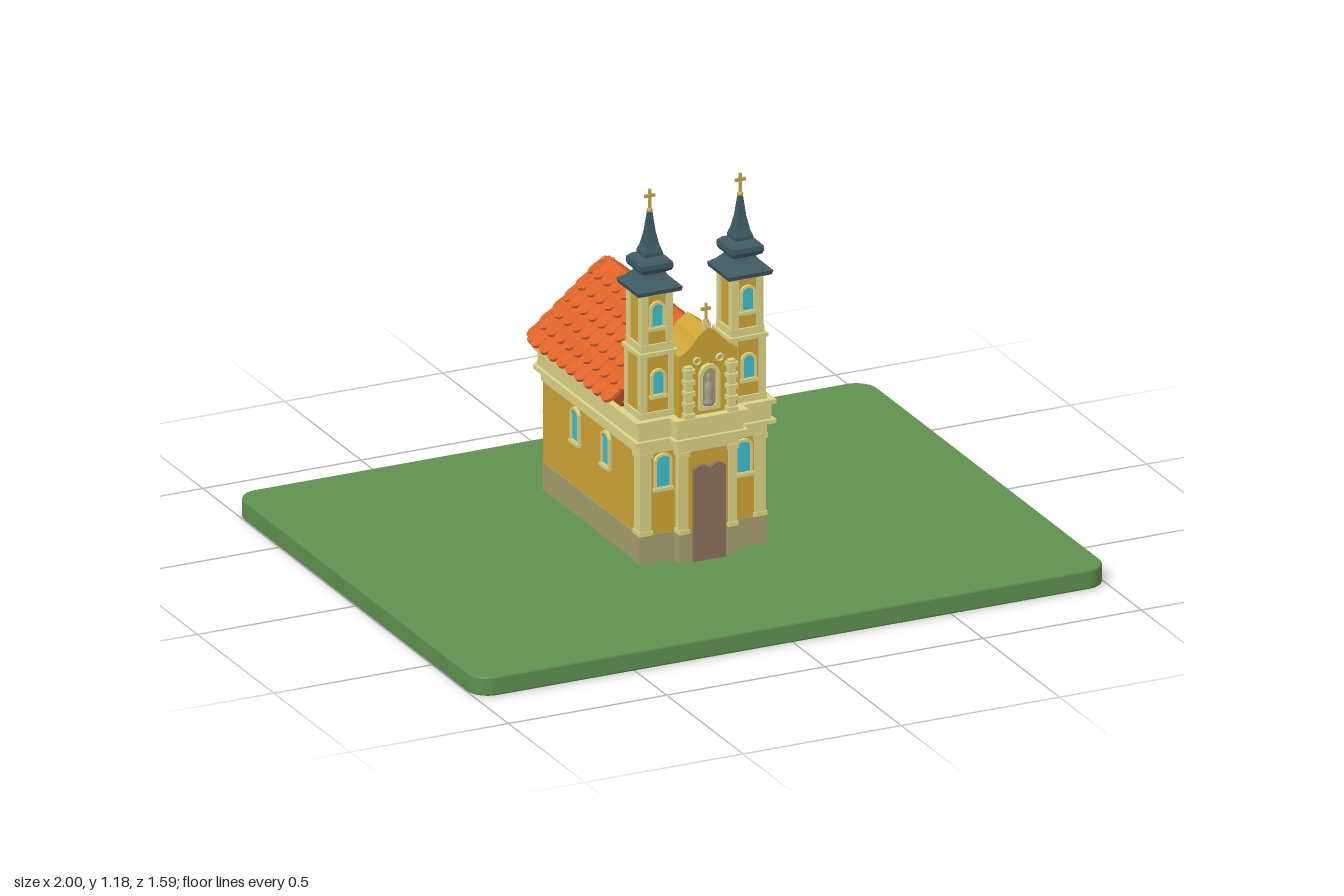
import * as THREE from 'three';
import { mergeGeometries } from 'three/addons/utils/BufferGeometryUtils.js';

const mat = (color, flatShading = false) => new THREE.MeshStandardMaterial({ color, flatShading });
const M = {
  grass: mat(0x5f9150), stone: mat(0xa59e6e), wall: mat(0xd0a535), trim: mat(0xdcd588),
  tile: mat(0xe0642a), slate: mat(0x3d5a62, true), glass: mat(0x3fbfcc), wood: mat(0x8c705c),
  gold: mat(0xc9a94e), statue: mat(0xa8a294), under: mat(0x8a3c18)
};

function add(parent, name, geometry, material, x = 0, y = 0, z = 0) {
  const mesh = new THREE.Mesh(geometry, material);
  mesh.name = name;
  mesh.position.set(x, y, z);
  parent.add(mesh);
  return mesh;
}
// Box given by its centre in x and z and its bottom and top
const box = (parent, name, material, w, d, y0, y1, x, z) =>
  add(parent, name, new THREE.BoxGeometry(w, y1 - y0, d), material, x, (y0 + y1) / 2, z);

const extrude = (shape, depth, options = {}) =>
  new THREE.ExtrudeGeometry(shape, { depth, bevelEnabled: false, curveSegments: 6, ...options });

// Upright shape with a shallow arched top, standing on y = 0
function arch(w, h, rise, Type = THREE.Shape, y0 = 0) {
  const s = new Type();
  s.moveTo(-w / 2, y0);
  s.lineTo(w / 2, y0);
  s.lineTo(w / 2, h - rise);
  s.bezierCurveTo(w * 0.4, h + rise * 0.3, -w * 0.4, h + rise * 0.3, -w / 2, h - rise);
  s.closePath();
  return s;
}

function addWindow(parent, w, h, x, y, z, turn = 0) {
  const g = new THREE.Group();
  g.name = 'window';
  const frame = arch(w + 0.014, h + 0.008, 0.018);
  frame.holes.push(arch(w, h, 0.015, THREE.Path, 0.006));
  add(g, 'windowFrame', extrude(frame, 0.012), M.trim, 0, 0, -0.004);
  add(g, 'windowPane', extrude(arch(w, h, 0.015), 0.006), M.glass, 0, 0, -0.003);
  box(g, 'windowSill', M.trim, w + 0.02, 0.02, -0.006, 0.004, 0, 0.002);
  g.position.set(x, y, z);
  g.rotation.y = turn;
  parent.add(g);
}

// Footprint of the church grown by o, with front bay and three-sided apse
function footprint(o, y0, y1) {
  const half = [[0.09 + o, 0.235 + o], [0.09 + o, 0.2 + o], [0.195 + o, 0.2 + o],
    [0.195 + o, -0.44 - 0.4 * o], [0.1 + 0.45 * o, -0.54 - o]];
  const all = [...half, ...half.map(([x, z]) => [-x, z]).reverse()];
  const shape = new THREE.Shape(all.map(([x, z]) => new THREE.Vector2(x, -z)));
  return extrude(shape, y1 - y0).rotateX(-Math.PI / 2).translate(0, y0, 0);
}

function addCross(parent, x, y, z, h) {
  const g = new THREE.Group();
  g.name = 'cross';
  add(g, 'crossBall', new THREE.SphereGeometry(0.009, 12, 8), M.gold, 0, 0.004, 0);
  box(g, 'crossPost', M.gold, 0.007, 0.007, 0, h, 0, 0);
  box(g, 'crossArm', M.gold, h * 0.5, 0.007, h * 0.64, h * 0.64 + 0.009, 0, 0);
  g.position.set(x, y, z);
  parent.add(g);
}

function addRoof(parent) {
  const top = 0.735, drop = 0.225, rx = 0.22, rz = 0.16, front = 0.1, back = -0.42, rows = 6;
  const shape = arch(0.09, 0, 0);
  shape.curves = [];
  shape.setFromPoints([[-0.21, 0], [0.21, 0], [0, drop - 0.008]].map(p => new THREE.Vector2(...p)));
  add(parent, 'roofCore', extrude(shape, front - back), M.under, 0, top - drop, back);
  const cone = new THREE.ConeGeometry(1, drop - 0.008, 24, 1, false, Math.PI / 2, Math.PI);
  add(parent, 'apseRoofCore', cone.scale(0.21, 1, 0.15), M.under, 0, top - drop / 2 - 0.004, back);

  // One tile with a rounded lower end, lifted a little along the slope
  const L = 0.066, W = 0.056, s = new THREE.Shape();
  s.moveTo(-W / 2, 0);
  s.lineTo(W / 2, 0);
  s.lineTo(W / 2, L * 0.68);
  s.bezierCurveTo(W * 0.42, L * 1.1, -W * 0.42, L * 1.1, -W / 2, L * 0.68);
  const tile = extrude(s, 0.01, { curveSegments: 8 }).rotateX(0.16);
  const tiles = [];
  const lay = (pos, down, widen) => {
    down.normalize();
    const out = new THREE.Vector3(down.x, 0, down.z).normalize();
    const across = new THREE.Vector3().crossVectors(down, new THREE.Vector3().crossVectors(
      new THREE.Vector3(0, 1, 0).cross(out), down).negate()).normalize();
    const normal = new THREE.Vector3().crossVectors(across, down);
    if (normal.y < 0) { normal.negate(); across.negate(); }
    const m = new THREE.Matrix4().makeBasis(across, down, normal).setPosition(pos);
    tiles.push(tile.clone().scale(widen, 1, 1).applyMatrix4(m));
  };
  const count = 9, step = (front - back) / count;
  for (let r = 0; r < rows; r++) {
    const t = r / rows, shift = r % 2 ? 1 : 0.5;
    for (const side of [-1, 1])
      for (let i = 0; i < count; i++)
        lay(new THREE.Vector3(side * rx * t, top - drop * t, front - step * (i + shift)),
          new THREE.Vector3(side * rx, -drop, 0), 1);
    // Fan of tiles round the apse
    const n = 4 + Math.round(t * 8);
    for (let i = 0; i < n; i++) {
      const a = (i + (r % 2 ? 0.35 : 0.5)) / n * Math.PI, c = Math.cos(a), q = Math.sin(a);
      lay(new THREE.Vector3(rx * t * c, top - drop * t, back - rz * t * q),
        new THREE.Vector3(rx * c, -drop, -rz * q), 0.7 + 0.3 * t);
    }
  }
  add(parent, 'roofTiles', mergeGeometries(tiles), M.tile);
  const ridge = new THREE.CylinderGeometry(0.012, 0.012, front - back, 10).rotateX(Math.PI / 2);
  add(parent, 'ridgeCap', ridge, M.tile, 0, top - 0.004, (front + back) / 2);
}

function makeTower(side) {
  const g = new THREE.Group();
  g.name = side > 0 ? 'leftTower' : 'rightTower';
  // Two storeys with corner pilasters, a window and a cornice each
  for (const [y0, y1, h] of [[0.5, 0.705, 0.051], [0.705, 0.89, 0.046]]) {
    box(g, 'towerWall', M.wall, 2 * h, 2 * h, y0, y1, 0, 0);
    for (const x of [-1, 1]) for (const z of [-1, 1])
      box(g, 'towerPilaster', M.trim, 0.022, 0.022, y0, y1, x * (h - 0.007), z * (h - 0.007));
    box(g, 'towerPlinth', M.trim, 2 * h + 0.012, 2 * h + 0.012, y0, y0 + 0.022, 0, 0);
    box(g, 'towerCornice', M.trim, 2 * h + 0.018, 2 * h + 0.018, y1 - 0.012, y1, 0, 0);
    addWindow(g, 0.034, 0.075, 0, y0 + 0.07, h);
  }
  // Square flared roof, bulb and spire
  const profile = [[0, 0.885], [0.068, 0.885], [0.071, 0.898], [0.052, 0.913], [0.037, 0.93],
    [0.034, 0.937], [0.047, 0.945], [0.051, 0.955], [0.05, 0.97], [0.038, 0.982], [0.028, 0.986],
    [0.028, 0.996], [0.021, 1.015], [0.013, 1.055], [0.006, 1.115], [0, 1.12]];
  const points = profile.map(([r, y]) => new THREE.Vector2(r * Math.SQRT2, y));
  add(g, 'towerSpire', new THREE.LatheGeometry(points, 4, Math.PI / 4), M.slate);
  addCross(g, 0, 1.115, 0, 0.068);
  g.position.set(side * 0.143, 0, 0.15);
  return g;
}

function addGable(parent) {
  // Curved gable block between the towers
  const s = new THREE.Shape();
  s.moveTo(-0.092, 0);
  s.lineTo(0.092, 0);
  s.lineTo(0.092, 0.19);
  s.quadraticCurveTo(0.055, 0.205, 0.035, 0.24);
  s.lineTo(0, 0.265);
  s.lineTo(-0.035, 0.24);
  s.quadraticCurveTo(-0.055, 0.205, -0.092, 0.19);
  add(parent, 'gable', extrude(s, 0.137), M.wall, 0, 0.5, 0.1);
  box(parent, 'gableFinial', M.trim, 0.022, 0.022, 0.755, 0.778, 0, 0.222);
  addCross(parent, 0, 0.775, 0.222, 0.06);
  for (const x of [-1, 1]) {
    box(parent, 'gablePilaster', M.trim, 0.022, 0.024, 0.5, 0.66, x * 0.068, 0.243);
    for (let i = 0; i < 5; i++)
      box(parent, 'gableBand', M.trim, 0.032, 0.034, 0.505 + i * 0.034, 0.518 + i * 0.034, x * 0.068, 0.245);
    add(parent, 'gableScroll', new THREE.TorusGeometry(0.01, 0.004, 8, 16), M.trim, x * 0.036, 0.668, 0.238);
  }
  // Niche with a statue
  const frame = arch(0.064, 0.14, 0.03);
  frame.holes.push(arch(0.044, 0.128, 0.024, THREE.Path, 0.012));
  add(parent, 'nicheFrame', extrude(frame, 0.016), M.trim, 0, 0.518, 0.234);
  add(parent, 'nicheBack', extrude(arch(0.046, 0.13, 0.024), 0.003), M.stone, 0, 0.518, 0.236);
  const body = [[0, 0], [0.016, 0], [0.015, 0.012], [0.01, 0.016], [0.014, 0.045], [0.012, 0.065],
    [0.004, 0.074], [0.008, 0.084], [0.006, 0.094], [0, 0.097]].map(p => new THREE.Vector2(...p));
  add(parent, 'statue', new THREE.LatheGeometry(body, 14), M.statue, 0, 0.53, 0.241).scale.z = 0.6;
}

export function createModel() {
  const model = new THREE.Group();
  model.name = 'church';

  // Ground slab with rounded corners
  const b = 0.006, w = 1 - b, d = 0.795 - b, r = 0.06, s = new THREE.Shape();
  s.absarc(w - r, d - r, r, 0, Math.PI / 2);
  s.absarc(r - w, d - r, r, Math.PI / 2, Math.PI);
  s.absarc(r - w, r - d, r, Math.PI, Math.PI * 1.5);
  s.absarc(w - r, r - d, r, Math.PI * 1.5, Math.PI * 2);
  const slab = extrude(s, 0.06 - 2 * b, { bevelEnabled: true, bevelSize: b, bevelThickness: b, bevelSegments: 2 });
  add(model, 'ground', slab.rotateX(-Math.PI / 2), M.grass, 0, b, 0);

  // Plinth, walls and stacked cornice
  for (const [name, o, y0, y1, m] of [['plinth', 0.003, 0.055, 0.145, M.stone], ['walls', 0, 0.145, 0.4, M.wall],
    ['frieze', 0.006, 0.395, 0.432, M.trim], ['corniceLower', 0.026, 0.43, 0.442, M.trim],
    ['corniceBand', 0.015, 0.442, 0.49, M.trim], ['corniceUpper', 0.026, 0.49, 0.503, M.trim]])
    add(model, name, footprint(o, y0, y1), m);

  for (const x of [-1, 1]) {
    // Pilasters on stone feet: front corner and centre bay
    for (const [px, pz, pw, pd] of [[0.181, 0.183, 0.036, 0.042], [0.077, 0.225, 0.026, 0.03]]) {
      box(model, 'pilaster', M.trim, pw, pd, 0.14, 0.4, x * px, pz);
      box(model, 'pilasterFoot', M.stone, pw + 0.008, pd + 0.006, 0.055, 0.145, x * px, pz);
      box(model, 'pilasterBase', M.trim, pw + 0.006, pd + 0.006, 0.145, 0.158, x * px, pz);
      box(model, 'pilasterCapital', M.trim, pw + 0.008, pd + 0.008, 0.382, 0.397, x * px, pz);
    }
    addWindow(model, 0.042, 0.1, x * 0.127, 0.283, 0.201);
    for (const z of [-0.02, -0.22]) addWindow(model, 0.04, 0.1, x * 0.196, 0.283, z, x * Math.PI / 2);
    addWindow(model, 0.04, 0.1, x * 0.149, 0.283, -0.491, x * (Math.PI - Math.atan2(0.1, 0.095)));

    // Door leaf
    add(model, 'doorLeaf', extrude(arch(0.049, 0.293, 0.012), 0.02), M.wood, x * 0.025, 0.058, 0.23);
    model.add(makeTower(x));
  }

  addGable(model);
  addRoof(model);
  return model;
}
